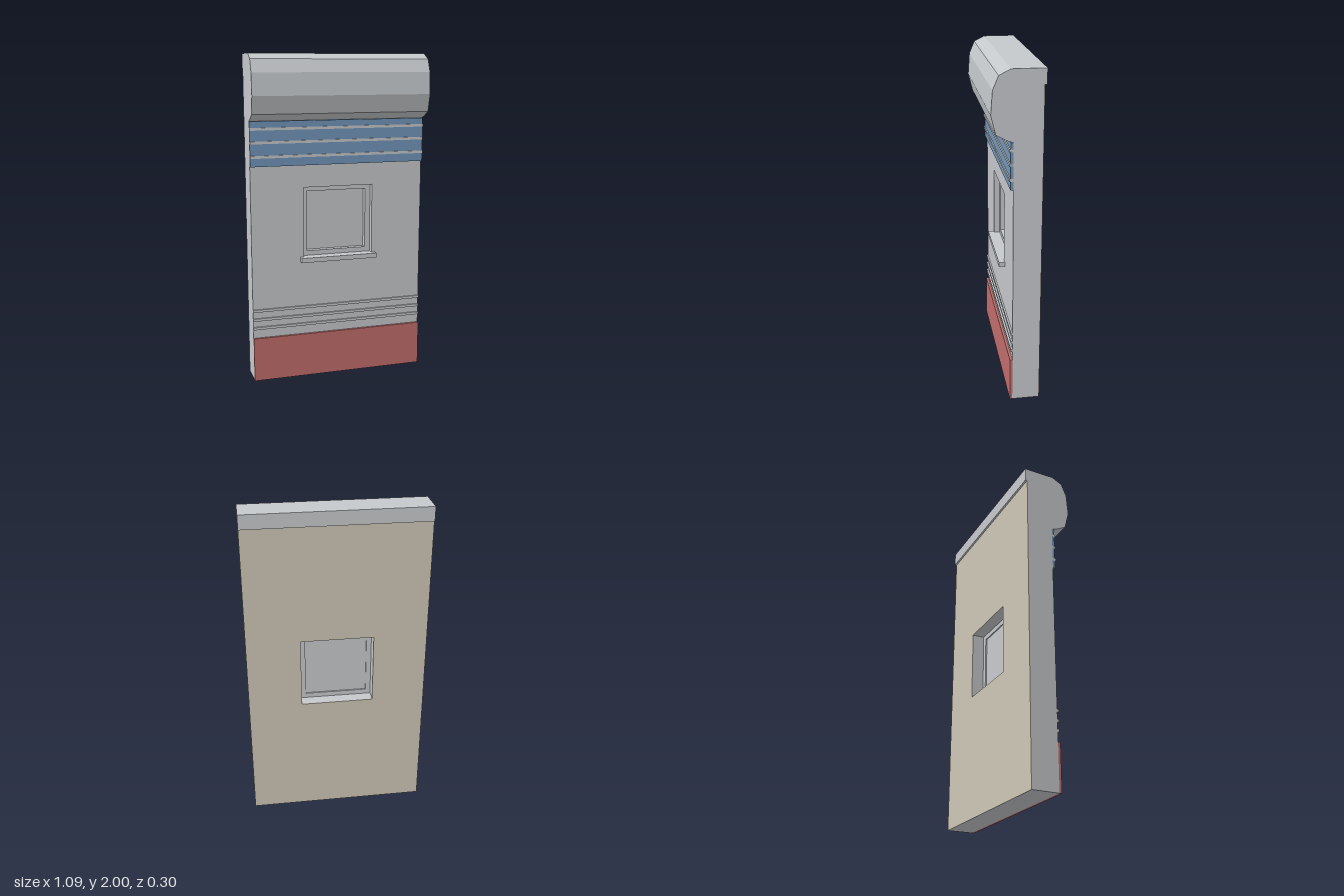
import * as THREE from 'three';

const W = 1.09;         // panel width
const FRONT = 0.027;    // wall front plane
const BACK = -0.132;    // wall core back plane

function material(name, color) {
  const m = new THREE.MeshStandardMaterial({ color });
  m.name = name;
  return m;
}

function rectPath(PathType, x0, y0, x1, y1) {
  const p = new PathType();
  p.moveTo(x0, y0);
  p.lineTo(x1, y0);
  p.lineTo(x1, y1);
  p.lineTo(x0, y1);
  p.closePath();
  return p;
}

// Rectangular slab with a rectangular hole, between two z planes
function slab(outer, hole, z0, z1) {
  const shape = rectPath(THREE.Shape, ...outer);
  shape.holes.push(rectPath(THREE.Path, ...hole));
  const g = new THREE.ExtrudeGeometry(shape, { depth: z1 - z0, bevelEnabled: false });
  return g.translate(0, 0, z0);
}

function box(x0, x1, y0, y1, z0, z1) {
  return new THREE.BoxGeometry(x1 - x0, y1 - y0, z1 - z0)
    .translate((x0 + x1) / 2, (y0 + y1) / 2, (z0 + z1) / 2);
}

export function createModel() {
  const grey = material('plaster grey', 0xc6c9cc);
  const beige = material('inner wall beige', 0xcec7b6);
  const red = material('plinth red', 0xc06e6c);
  const blue = material('frieze blue', 0x7296bb);

  const group = new THREE.Group();
  group.name = 'wallPanel';
  const add = (name, geometry, mat) => {
    const mesh = new THREE.Mesh(geometry, mat);
    mesh.name = name;
    group.add(mesh);
  };

  const h = W / 2;
  const opening = [-0.22, 0.77, 0.22, 1.205];

  // Wall with window opening, and its inside lining
  add('wall', slab([-h, 0, h, 1.61], opening, BACK, FRONT), grey);
  add('wallTop', box(-h, h, 1.61, 1.915, BACK, 0), grey);
  add('innerLining', slab([-h, 0, h, 1.915], opening, -0.136, BACK), beige);

  // Rounded cornice: profile in (z, y), swept across the width
  const profile = [
    [FRONT, 1.61], [0.063, 1.622], [0.122, 1.655], [0.148, 1.76], [0.138, 1.892],
    [0.106, 1.968], [0.042, 2], [-0.148, 2], [-0.148, 1.915], [BACK, 1.915], [BACK, 1.61],
  ].map(([z, y]) => new THREE.Vector2(z, y));
  const cornice = new THREE.ExtrudeGeometry(new THREE.Shape(profile), { depth: W, bevelEnabled: false });
  cornice.rotateY(-Math.PI / 2).translate(h, 0, 0);
  add('cornice', cornice, grey);

  // Painted bands
  add('plinth', box(-h, h, 0, 0.275, FRONT, 0.042), red);
  add('frieze', box(-h, h, 1.342, 1.61, FRONT, 0.042), blue);

  // Thin horizontal mouldings
  for (const y of [1.4, 1.485, 1.565]) {
    add('friezeMoulding', box(-h, h, y - 0.008, y + 0.008, FRONT, 0.049), grey);
  }
  for (const y of [0.338, 0.393, 0.45]) {
    add('lowerMoulding', box(-h, h, y - 0.008, y + 0.008, FRONT, 0.037), grey);
  }

  // Window: recessed frame, pane and projecting sill
  add('windowFrame', slab(opening, [-0.19, 0.8, 0.187, 1.175], -0.06, -0.01), grey);
  add('windowPane', box(-0.19, 0.187, 0.8, 1.175, -0.052, -0.046), grey);
  add('windowSill', box(-0.242, 0.242, 0.742, 0.771, FRONT - 0.01, 0.063), grey);

  return group;
}
